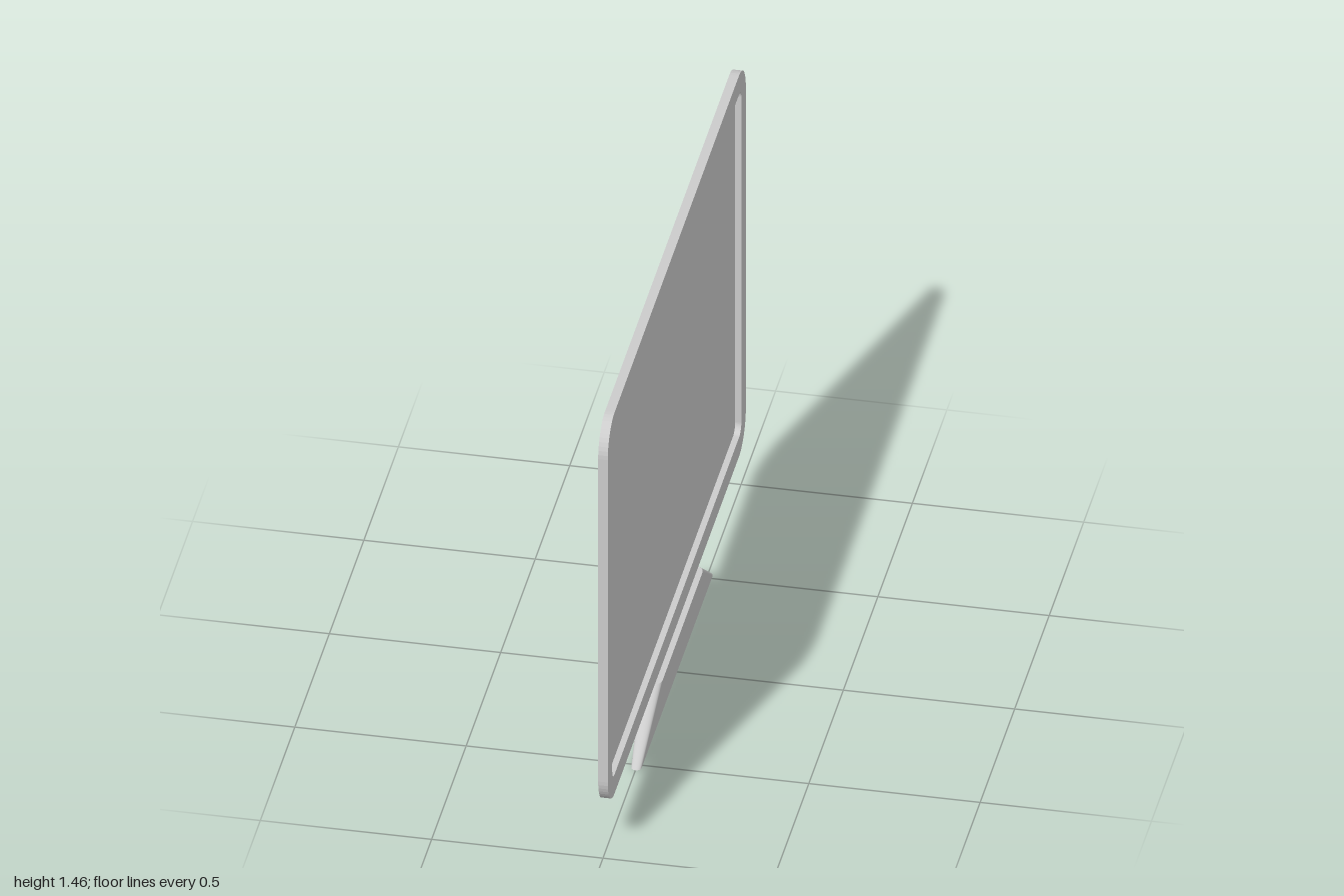
import * as THREE from 'three';

const material = new THREE.MeshStandardMaterial({ color: 0xcccccc });

// Rounded rectangle centred on the origin, half width w, half height h
function roundedRect(w, h, r, Type = THREE.Shape) {
  const s = new Type();
  s.absarc(w - r, h - r, r, 0, Math.PI / 2);
  s.absarc(-w + r, h - r, r, Math.PI / 2, Math.PI);
  s.absarc(-w + r, -h + r, r, Math.PI, Math.PI * 1.5);
  s.absarc(w - r, -h + r, r, Math.PI * 1.5, Math.PI * 2);
  s.closePath();
  return s;
}

// Upright slab facing +x, spanning x0 to x1
function slab(name, shape, x0, x1, y) {
  const geo = new THREE.ExtrudeGeometry(shape, { depth: x1 - x0, bevelEnabled: false, curveSegments: 6 });
  geo.rotateY(Math.PI / 2);
  const mesh = new THREE.Mesh(geo, material);
  mesh.name = name;
  mesh.position.set(x0, y, 0);
  return mesh;
}

// Loft between two stadium outlines, smooth sides and flat caps
function standGeometry() {
  const n = 10;
  const ring = (halfLength, r, y) => {
    const pts = [];
    for (const side of [1, -1])
      for (let i = 0; i <= n; i++) {
        const a = (i / n) * Math.PI;
        pts.push([side * r * Math.cos(a), y, side * (halfLength - r + r * Math.sin(a))]);
      }
    return pts;
  };
  const low = ring(0.53, 0.015, 0), high = ring(0.32, 0.031, 0.158);
  const m = low.length, index = [];
  // each ring appears twice: once for the sides, once for its cap
  const pos = [...low, ...high, ...low, ...high].flat();
  for (let i = 0; i < m; i++) {
    const j = (i + 1) % m;
    index.push(i, i + m, j, j, i + m, j + m);
  }
  for (let i = 1; i < m - 1; i++) {
    index.push(2 * m, 2 * m + i, 2 * m + i + 1);
    index.push(3 * m, 3 * m + i + 1, 3 * m + i);
  }
  // outlines run from +x to +z, clockwise seen from above
  const geo = new THREE.BufferGeometry();
  geo.setAttribute('position', new THREE.Float32BufferAttribute(pos, 3));
  geo.setIndex(index);
  geo.computeVertexNormals();
  return geo;
}

export function createModel() {
  const group = new THREE.Group();
  const back = -0.014, front = 0.014, screenFace = -0.004, centreY = 0.81;

  // Bezel around the recessed screen
  const bezel = roundedRect(1, 0.65, 0.1);
  bezel.holes.push(roundedRect(0.935, 0.585, 0.03, THREE.Path));
  group.add(slab('bezel', bezel, screenFace, front, centreY));

  // Back panel, whose front is the screen surface
  group.add(slab('screenPanel', roundedRect(1, 0.65, 0.1), back, screenFace, centreY));

  // Flared foot
  const stand = new THREE.Mesh(standGeometry(), material);
  stand.name = 'stand';
  group.add(stand);

  return group;
}
